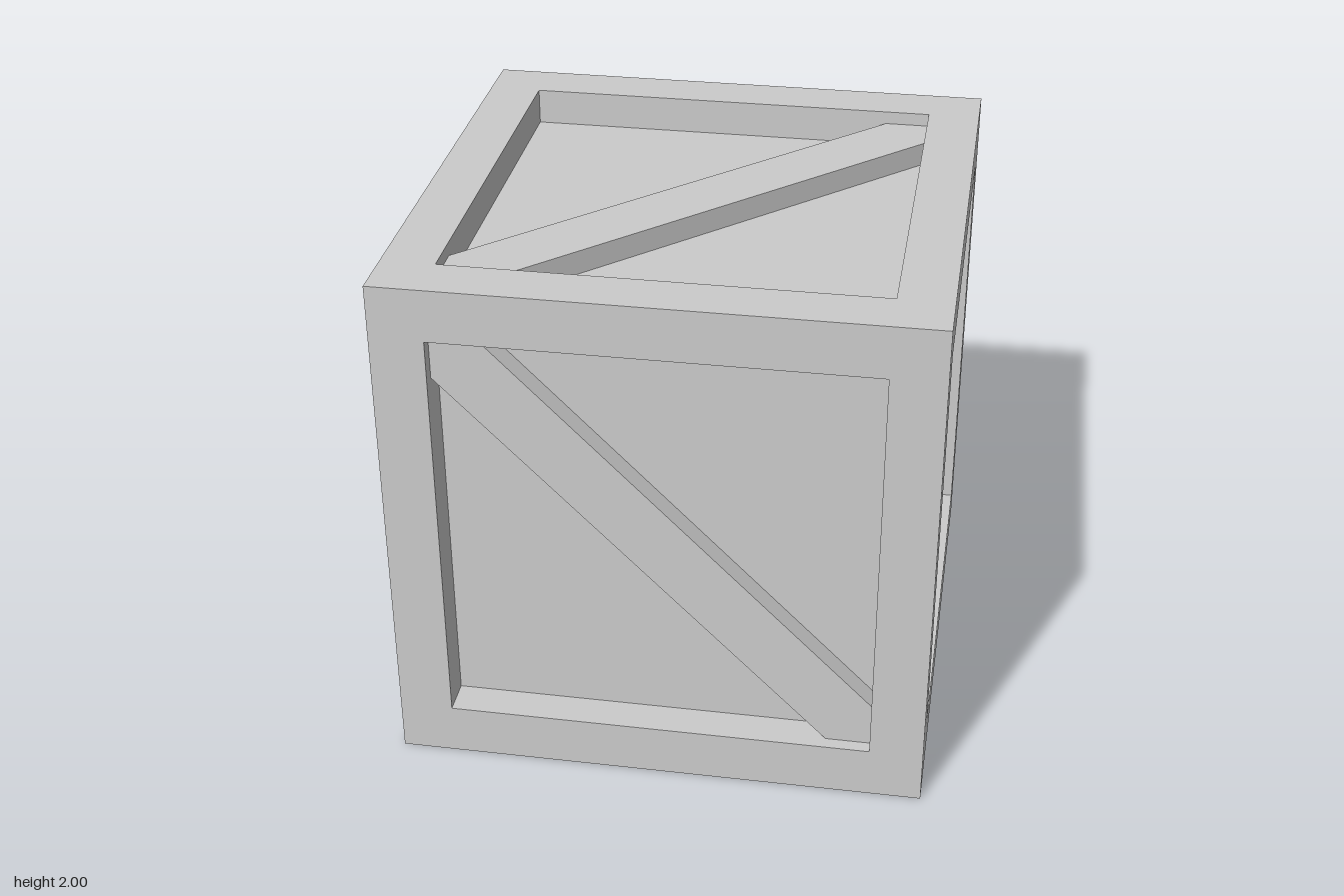
import * as THREE from 'three';

const HALF = 1;        // half the crate's edge
const INNER = 0.8;     // half the opening inside each frame
const PANEL = 0.86;    // panel distance from the centre
const BRACE = 0.95;    // brace face distance from the centre
const CUT = 0.63;      // where the brace edges meet the opening

export function createModel() {
  const material = new THREE.MeshStandardMaterial({ color: 0xcccccc, flatShading: true });

  // Square frame with its inner walls: a four-sided lathe turned to face +z
  const profile = [[HALF, HALF], [INNER, HALF], [INNER, PANEL]]
    .map(([r, y]) => new THREE.Vector2(r * Math.SQRT2, y));
  const frameGeometry = new THREE.LatheGeometry(profile, 4)
    .rotateY(Math.PI / 4).rotateX(Math.PI / 2).toNonIndexed();
  frameGeometry.computeVertexNormals();

  // Recessed panel
  const panelGeometry = new THREE.PlaneGeometry(2 * INNER, 2 * INNER).translate(0, 0, PANEL);

  // Diagonal brace from top left to bottom right, cut to fit the corners
  const braceShape = new THREE.Shape([
    [-INNER, INNER], [-INNER, CUT], [CUT, -INNER],
    [INNER, -INNER], [INNER, -CUT], [-CUT, INNER],
  ].map(([x, y]) => new THREE.Vector2(x, y)));
  const braceGeometry = new THREE.ExtrudeGeometry(braceShape, { depth: BRACE - PANEL, bevelEnabled: false })
    .translate(0, 0, PANEL);

  const crate = new THREE.Group();
  crate.name = 'crate';

  // Each side: name, turn about x, turn about y, whether the brace leans the other way
  const q = Math.PI / 2;
  const sides = [
    ['front', 0, 0, false],
    ['back', 0, 2 * q, false],
    ['left', 0, q, true],
    ['right', 0, -q, true],
    ['top', -q, 0, true],
    ['bottom', q, 0, false],
  ];
  for (const [name, rx, ry, flipped] of sides) {
    const side = new THREE.Group();
    side.name = name + 'Side';
    const add = (part, geometry) => {
      const mesh = new THREE.Mesh(geometry, material);
      mesh.name = name + part;
      side.add(mesh);
      return mesh;
    };
    add('Frame', frameGeometry);
    add('Panel', panelGeometry);
    add('Brace', braceGeometry).rotation.z = flipped ? q : 0;
    side.rotation.set(rx, ry, 0);
    side.position.y = HALF;
    crate.add(side);
  }
  return crate;
}
